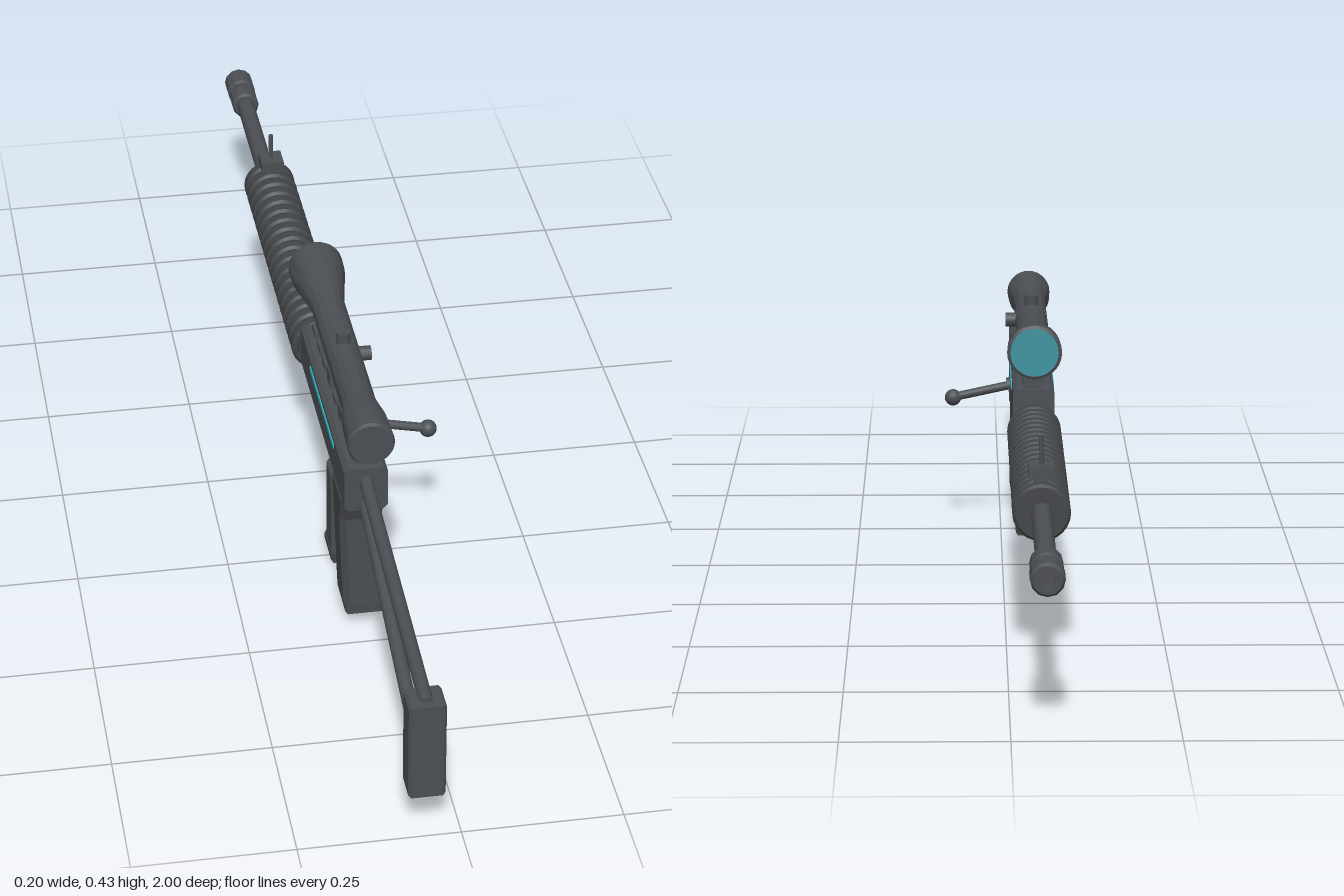
import * as THREE from 'three';
import { toCreasedNormals } from 'three/addons/utils/BufferGeometryUtils.js';

export function createModel() {
  const model = new THREE.Group();
  const CX = -0.053; // long axis of the body

  const mat = (name, color) => {
    const m = new THREE.MeshStandardMaterial({ color });
    m.name = name;
    return m;
  };
  const steel = mat('gunmetal', 0x4b4e53);
  const dark = mat('dark polymer', 0x424548);
  const teal = mat('teal accent', 0x2fb4c2);
  const glass = mat('lens glass', 0x3f93a0);

  const add = (name, geo, material, x = CX, y = 0, z = 0) => {
    const mesh = new THREE.Mesh(geo, material);
    mesh.name = name;
    mesh.position.set(x, y, z);
    model.add(mesh);
    return mesh;
  };
  // box from y and z ranges, centred on the body axis
  const box = (name, material, w, y0, y1, z0, z1, x = CX) =>
    add(name, new THREE.BoxGeometry(w, y1 - y0, z1 - z0), material, x, (y0 + y1) / 2, (z0 + z1) / 2);
  // turned part along z, profile rows are [radius, z] with z rising
  const turned = (name, material, rows, y, segments = 24) => {
    const geo = new THREE.LatheGeometry(rows.map(([r, z]) => new THREE.Vector2(r, z)), segments);
    geo.rotateX(Math.PI / 2);
    return add(name, toCreasedNormals(geo, 0.5), material, CX, y);
  };
  // side outline of [z, y] points given a bevelled width
  const sidePlate = (name, material, points, width, bevel = 0.006) => {
    const shape = new THREE.Shape(points.map(([z, y]) => new THREE.Vector2(z, y)));
    const geo = new THREE.ExtrudeGeometry(shape, {
      depth: width - 2 * bevel, bevelEnabled: bevel > 0, bevelSize: bevel,
      bevelOffset: -bevel, bevelThickness: bevel, bevelSegments: 1,
    });
    geo.translate(0, 0, -(width - 2 * bevel) / 2).rotateY(-Math.PI / 2);
    return add(name, geo, material);
  };
  // chamfered bar running along z
  const bar = (name, material, w, y0, y1, z0, z1, c) => {
    const h = w / 2;
    const shape = new THREE.Shape([
      [-h + c, y0], [h - c, y0], [h, y0 + c], [h, y1 - c],
      [h - c, y1], [-h + c, y1], [-h, y1 - c], [-h, y0 + c],
    ].map(([x, y]) => new THREE.Vector2(x, y)));
    const geo = new THREE.ExtrudeGeometry(shape, { depth: z1 - z0, bevelEnabled: false });
    return add(name, geo, material, CX, 0, z0);
  };
  const rod = (name, material, a, b, r) => {
    const from = new THREE.Vector3(...a), to = new THREE.Vector3(...b);
    const dir = to.clone().sub(from);
    const mid = from.clone().add(to).multiplyScalar(0.5);
    const mesh = add(name, new THREE.CylinderGeometry(r, r, dir.length(), 14), material, mid.x, mid.y, mid.z);
    mesh.quaternion.setFromUnitVectors(new THREE.Vector3(0, 1, 0), dir.normalize());
    return mesh;
  };

  // receiver
  bar('receiver', steel, 0.07, 0.226, 0.304, 0.008, 0.456, 0.007);
  bar('lowerReceiver', steel, 0.056, 0.21, 0.24, 0.012, 0.262, 0.01);
  for (const s of [-1, 1])
    box('accentStripe', teal, 0.003, 0.281, 0.289, 0.115, 0.355, CX + s * 0.0355);

  // toothed top rail
  box('rail', steel, 0.032, 0.302, 0.309, 0.02, 0.44);
  for (let i = 0; i < 8; i++) {
    const z = 0.045 + i * 0.0525;
    box('railTooth', steel, 0.038, 0.307, 0.318, z - 0.015, z + 0.015);
  }

  // ribbed handguard
  const ribs = 18, pitch = 0.585 / ribs;
  const guard = [[0, -0.6]];
  for (let i = 0; i < ribs; i++) {
    const z = -0.6 + i * pitch;
    guard.push([0.036, z], [0.041, z], [0.0455, z + 0.005], [0.0455, z + pitch - 0.012],
      [0.041, z + pitch - 0.007], [0.036, z + pitch - 0.007]);
  }
  guard.push([0.036, -0.012], [0.03, -0.012], [0.03, 0.012], [0, 0.012]);
  turned('handguard', dark, guard, 0.24);

  // barrel and muzzle
  turned('barrel', steel, [[0, -0.96], [0.016, -0.96], [0.016, -0.59], [0, -0.59]], 0.241, 18);
  turned('muzzleCollar', steel,
    [[0.014, -0.938], [0.022, -0.938], [0.025, -0.934], [0.025, -0.898], [0.021, -0.893], [0.014, -0.893]], 0.241, 12);
  turned('muzzleTip', steel,
    [[0, -0.985], [0.012, -0.985], [0.012, -1], [0.022, -1], [0.026, -0.995], [0.026, -0.952], [0.022, -0.946], [0.012, -0.946]], 0.241, 12);

  // front sight
  box('sightFoot', steel, 0.022, 0.275, 0.295, -0.577, -0.553);
  box('sightBase', steel, 0.04, 0.292, 0.31, -0.587, -0.543);
  rod('sightPost', steel, [CX, 0.3, -0.565], [CX, 0.355, -0.565], 0.004);

  // scope
  const SY = 0.38;
  turned('scopeBody', steel, [
    [0, -0.048], [0.04, -0.048], [0.041, -0.055], [0.046, -0.053], [0.045, -0.02], [0.03, 0.065], [0.028, 0.08],
    [0.028, 0.39], [0.036, 0.44], [0.038, 0.5], [0.035, 0.505], [0, 0.505],
  ], SY, 28);
  const lens = add('frontLens', new THREE.CylinderGeometry(0.0405, 0.0405, 0.006, 28), glass, CX, SY, -0.0525);
  lens.rotation.x = Math.PI / 2;
  rod('elevationTurret', steel, [CX, SY, 0.235], [CX, 0.424, 0.235], 0.012);
  rod('windageTurret', steel, [CX, SY, 0.235], [CX + 0.045, SY, 0.235], 0.012);
  for (const z of [0.2, 0.315]) {
    box('scopeMountFoot', steel, 0.038, 0.316, 0.332, z - 0.018, z + 0.018);
    box('scopeMountPost', steel, 0.032, 0.328, 0.362, z - 0.01, z + 0.01);
  }

  // skeleton stock
  sidePlate('buttPlate', steel, [[0.948, 0.074], [1, 0.074], [1, 0.24], [0.948, 0.24]], 0.057, 0.004);
  rod('upperStockTube', steel, [CX, 0.28, 0.44], [CX, 0.236, 0.985], 0.011);
  rod('lowerStockTube', steel, [CX, 0.238, 0.44], [CX, 0.105, 0.965], 0.011);

  // grip
  sidePlate('grip', dark, [[0.375, 0.035], [0.45, 0.035], [0.414, 0.18], [0.425, 0.23], [0.325, 0.23]], 0.07, 0.01);
  sidePlate('gripBase', dark, [[0.37, 0.024], [0.455, 0.024], [0.452, 0.04], [0.37, 0.04]], 0.066, 0.004);

  // magazine
  sidePlate('magazine', steel, [[0.21, 0.012], [0.262, 0.012], [0.262, 0.165], [0.21, 0.165]], 0.05, 0.004);
  sidePlate('magazineBase', dark, [[0.2, 0], [0.275, 0], [0.275, 0.018], [0.2, 0.018]], 0.054, 0.004);
  box('magazineNeck', steel, 0.032, 0.16, 0.225, 0.215, 0.245);

  // trigger and guard
  box('triggerGuard', steel, 0.016, 0.15, 0.157, 0.24, 0.375);
  box('guardFront', steel, 0.016, 0.15, 0.215, 0.208, 0.213);
  const path = new THREE.QuadraticBezierCurve3(
    new THREE.Vector3(0, 0.23, 0.28), new THREE.Vector3(0, 0.2, 0.29), new THREE.Vector3(0, 0.172, 0.262));
  add('trigger', new THREE.TubeGeometry(path, 8, 0.004, 8), steel);

  // bolt handle
  rod('boltCollar', steel, [-0.03, 0.262, 0.255], [-0.012, 0.258, 0.255], 0.014);
  rod('boltHandle', steel, [-0.02, 0.26, 0.255], [0.082, 0.238, 0.255], 0.0075);
  add('boltKnob', new THREE.SphereGeometry(0.0145, 18, 12), steel, 0.084, 0.237, 0.255);

  return model;
}
